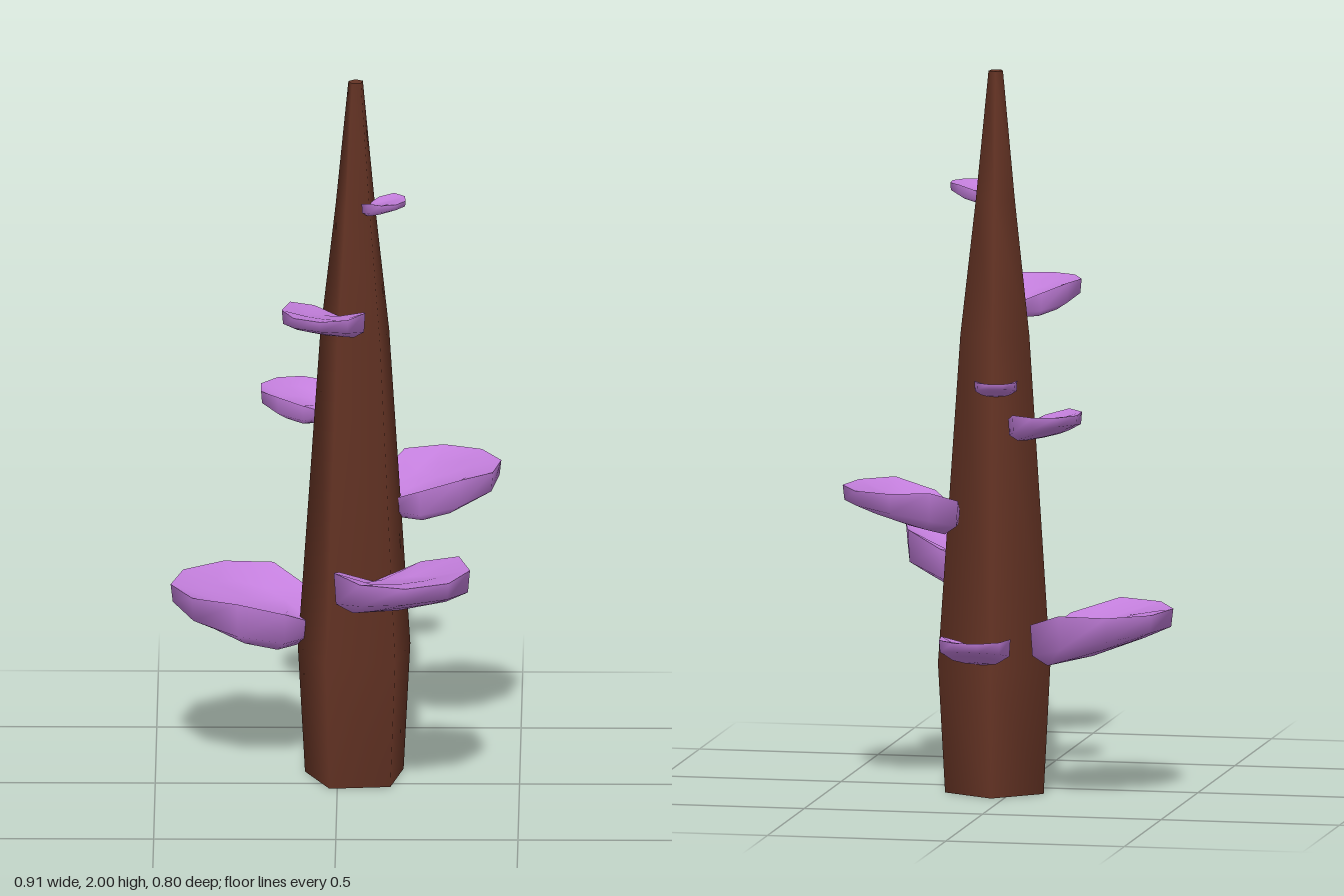
import * as THREE from 'three';
import { mergeVertices, mergeGeometries } from 'three/addons/utils/BufferGeometryUtils.js';

const SIDES = 9;
const CENTER = { x: 0.05, z: -0.077 };
const bark = new THREE.MeshStandardMaterial({ color: 0x643324, roughness: 0.9 });
const cap = new THREE.MeshStandardMaterial({ color: 0xc47fdd, roughness: 0.9 });

// Smooth shell through rings of [radius, centre offset, height rule]
function shell(rings) {
  const pos = [], index = [];
  rings.forEach(([r, shift, height]) => {
    for (let i = 0; i < SIDES; i++) {
      const a = Math.PI + (i / SIDES) * Math.PI * 2;
      const u = Math.cos(a);
      pos.push(r * u + shift, height(u), r * Math.sin(a));
    }
  });
  for (let j = 0; j < rings.length - 1; j++) {
    for (let i = 0; i < SIDES; i++) {
      const k = (i + 1) % SIDES;
      const a = j * SIDES + i, b = j * SIDES + k;
      const c = a + SIDES, d = b + SIDES;
      if (rings[j][0] > 0) index.push(a, b, d);
      if (rings[j + 1][0] > 0) index.push(a, d, c);
    }
  }
  let g = new THREE.BufferGeometry();
  g.setAttribute('position', new THREE.Float32BufferAttribute(pos, 3));
  g.setIndex(index);
  g = mergeVertices(g);
  g.computeVertexNormals();
  return g;
}

// Unit bracket: +x points away from the trunk, rim at y = 0, dips to the trunk
function bracketGeometry() {
  const rim = (u) => -0.5 * Math.max(0, (-u - 0.6) / 0.4);
  const top = shell([
    [0, -0.1, () => -0.24],
    [0.55, -0.08, (u) => -0.22 + 0.14 * u],
    [1, 0, rim],
  ]);
  const under = shell([
    [1, 0, rim],
    [0.97, 0, (u) => -0.43 + 0.19 * u - 0.08 * Math.max(0, -u)],
    [0.68, -0.08, (u) => -0.62 + 0.22 * u],
    [0, -0.12, () => -0.68],
  ]);
  return mergeGeometries([top, under]);
}

function createTrunk() {
  const trunk = new THREE.Group();
  trunk.name = 'trunk';
  const turn = THREE.MathUtils.degToRad(48);
  const profile = [[0.143, 0], [0.163, 0.36], [0.1, 1.27], [0.057, 1.64], [0.021, 2]]
    .map(([r, y]) => new THREE.Vector2(r, y));
  const wall = new THREE.Mesh(new THREE.LatheGeometry(profile, 5, Math.PI / 2 - turn), bark);
  wall.name = 'trunkBark';
  // End faces
  const tip = new THREE.Mesh(new THREE.CircleGeometry(0.021, 5, -turn).rotateX(-Math.PI / 2), bark);
  tip.position.y = 2;
  tip.name = 'trunkTip';
  const base = new THREE.Mesh(new THREE.CircleGeometry(0.143, 5, turn).rotateX(Math.PI / 2), bark);
  base.name = 'trunkBase';
  trunk.add(wall, tip, base);
  trunk.position.set(CENTER.x, 0, CENTER.z);
  return trunk;
}

export function createModel() {
  const model = new THREE.Group();
  model.name = 'fungusTree';
  model.add(createTrunk());

  // Shelf fungi: x, rim height, z, radius
  const geometry = bracketGeometry();
  [
    [0.065, 0.455, -0.3, 0.1],
    [-0.26, 0.53, -0.155, 0.2],
    [0.177, 0.69, 0.21, 0.19],
    [0.285, 0.86, -0.205, 0.165],
    [-0.115, 1.075, -0.21, 0.103],
    [0.02, 1.16, -0.225, 0.06],
    [-0.035, 1.4, 0.1, 0.117],
    [0.128, 1.68, -0.02, 0.062],
  ].forEach(([x, y, z, r], i) => {
    const shelf = new THREE.Mesh(geometry, cap);
    shelf.name = `shelfFungus${i + 1}`;
    shelf.position.set(x, y, z);
    shelf.rotation.y = -Math.atan2(z - CENTER.z, x - CENTER.x);
    shelf.scale.setScalar(r);
    model.add(shelf);
  });
  return model;
}
